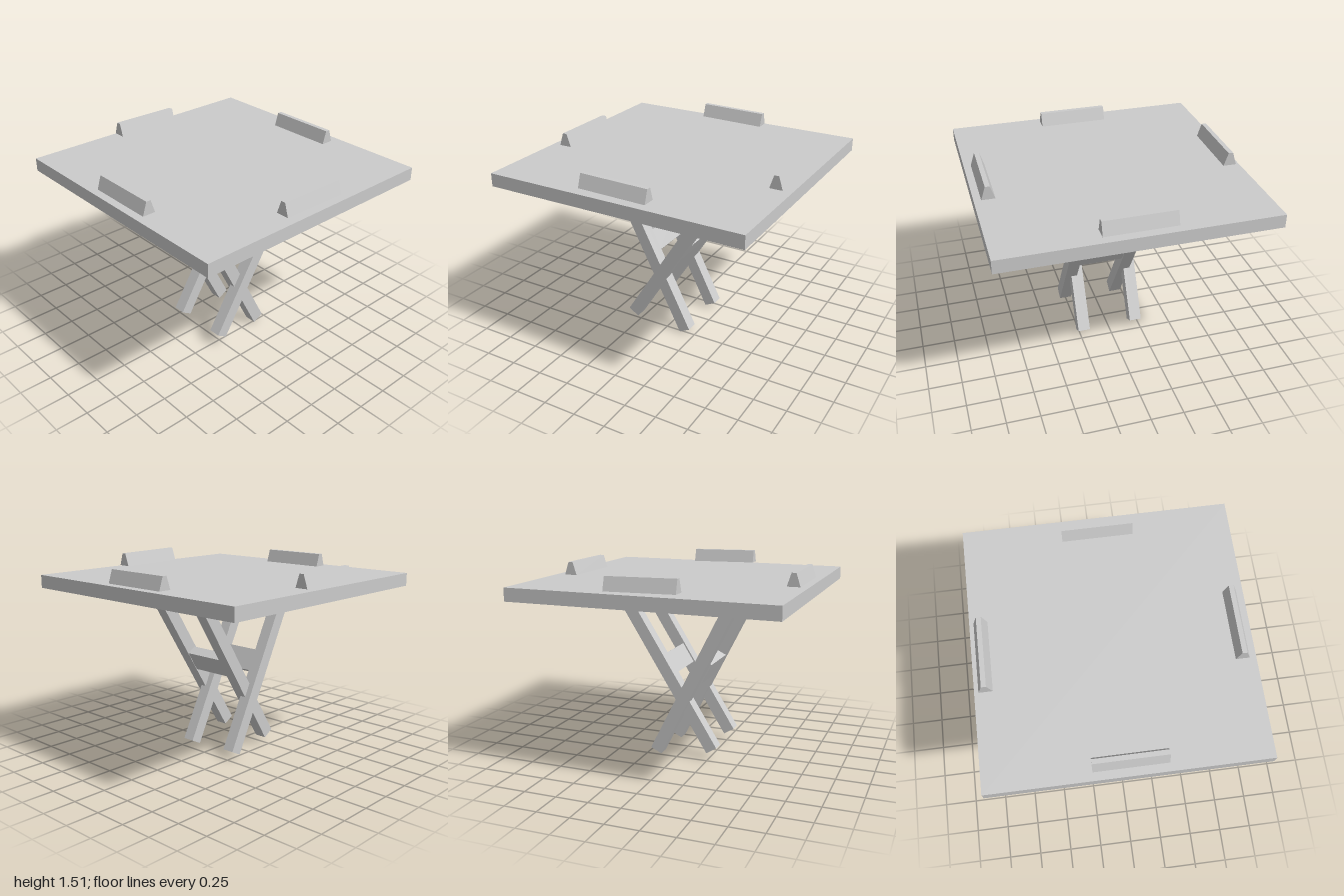
import * as THREE from 'three';

const material = new THREE.MeshStandardMaterial({ color: 0xcccccc, flatShading: true });

export function createModel() {
  const model = new THREE.Group();
  model.name = 'foldingTable';

  function add(name, geometry, x, y, z, rx = 0, ry = 0) {
    const mesh = new THREE.Mesh(geometry, material);
    mesh.name = name;
    mesh.position.set(x, y, z);
    mesh.rotation.set(rx, ry, 0);
    model.add(mesh);
    return mesh;
  }

  // Square table top
  add('tableTop', new THREE.BoxGeometry(2, 0.1, 2), 0, 1.35, 0);

  // Tile racks: trapezoid bars running along z before rotation
  const section = new THREE.Shape([[-0.05, 0], [0.05, 0], [0.0175, 0.1], [-0.0175, 0.1]]
    .map(([x, y]) => new THREE.Vector2(x, y)));
  const rackGeometry = new THREE.ExtrudeGeometry(section, { depth: 0.53, bevelEnabled: false });
  rackGeometry.translate(0, 0, -0.265);
  add('frontRack', rackGeometry, 0.015, 1.4, 0.89, 0, Math.PI / 2);
  add('backRack', rackGeometry, 0.003, 1.4, -0.88, 0, Math.PI / 2);
  add('rightRack', rackGeometry, -0.917, 1.415, 0.022, -0.015);
  add('leftRack', rackGeometry, 0.899, 1.415, 0.005, -0.015);

  // Crossed legs: each runs from its foot centre up into the table top
  const frontTilt = 0.468;
  const backTilt = -0.558;
  function leg(name, x, footY, footZ, tilt) {
    const length = (1.345 - footY) / Math.cos(tilt);
    const geometry = new THREE.BoxGeometry(0.095, length, 0.095);
    geometry.translate(0, length / 2, 0);
    add(name, geometry, x, footY, footZ, tilt);
  }
  leg('forwardLeaningLegLeft', 0.218, 0.027, -0.168, frontTilt);
  leg('forwardLeaningLegRight', -0.218, 0.042, -0.168, frontTilt);
  leg('backwardLeaningLegLeft', 0.268, 0.095, 0.277, backTilt);
  leg('backwardLeaningLegRight', -0.172, 0.08, 0.277, backTilt);

  // Crossbars joining each pair of legs
  add('frontCrossbar', new THREE.BoxGeometry(0.35, 0.174, 0.08), 0, 0.696, 0.184, frontTilt);
  add('backCrossbar', new THREE.BoxGeometry(0.36, 0.174, 0.08), 0.048, 0.715, -0.115, backTilt);

  return model;
}
